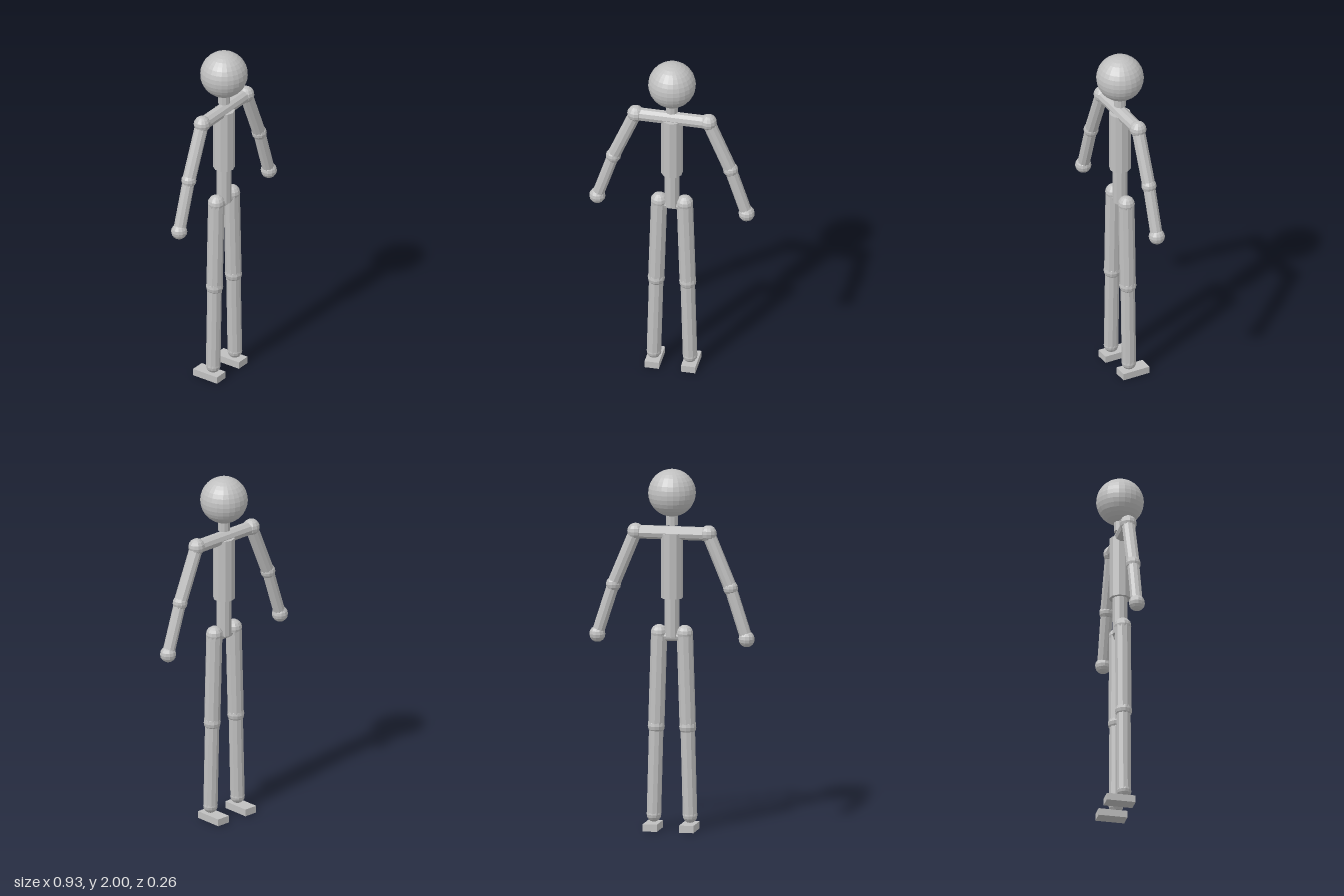
import * as THREE from 'three';

export function createModel() {
  const model = new THREE.Group();
  model.name = 'jointedFigure';
  const grey = new THREE.MeshStandardMaterial({ color: 0xc0c0c0, flatShading: true });
  grey.name = 'grey';

  const add = (name, geometry, x, y, z = 0) => {
    const mesh = new THREE.Mesh(geometry, grey);
    mesh.name = name;
    mesh.position.set(x, y, z);
    model.add(mesh);
    return mesh;
  };
  const joint = (name, [x, y], r) => add(name, new THREE.SphereGeometry(r, 12, 8), x, y);

  // Ten-sided rod between two points in the x-y plane
  const rod = (name, a, b, rA, rB = rA) => {
    const from = new THREE.Vector3(a[0], a[1], 0);
    const to = new THREE.Vector3(b[0], b[1], 0);
    const dir = to.clone().sub(from);
    const mid = from.clone().add(to).multiplyScalar(0.5);
    const mesh = add(name, new THREE.CylinderGeometry(rB, rA, dir.length(), 10), mid.x, mid.y);
    mesh.quaternion.setFromUnitVectors(new THREE.Vector3(0, 1, 0), dir.normalize());
  };

  // Head and trunk
  add('head', new THREE.SphereGeometry(0.131, 24, 16), 0, 1.869);
  rod('neck', [0, 1.69], [0, 1.77], 0.034);
  rod('chest', [0, 1.285], [0, 1.643], 0.06);
  rod('waist', [0, 1.07], [0, 1.285], 0.042);
  rod('shoulderBar', [-0.204, 1.646], [0.204, 1.646], 0.038);
  rod('hipBar', [-0.072, 1.075], [0.072, 1.075], 0.03);

  // Limbs, mirrored
  for (const [side, s] of [['left', 1], ['right', -1]]) {
    const shoulder = [s * 0.204, 1.648];
    const elbow = [s * 0.328, 1.35];
    const hand = [s * 0.418, 1.071];
    rod(side + 'UpperArm', shoulder, elbow, 0.037);
    rod(side + 'Forearm', elbow, hand, 0.034);
    joint(side + 'Shoulder', shoulder, 0.047);
    joint(side + 'Elbow', elbow, 0.042);
    joint(side + 'Hand', hand, 0.045);

    const hip = [s * 0.072, 1.09];
    const knee = [s * 0.088, 0.572];
    const ankle = [s * 0.101, 0.08];
    rod(side + 'Thigh', hip, knee, 0.045);
    rod(side + 'Shin', knee, ankle, 0.04);
    joint(side + 'Hip', hip, 0.047);
    joint(side + 'Knee', knee, 0.048);
    joint(side + 'Ankle', ankle, 0.041);
    add(side + 'Foot', new THREE.BoxGeometry(0.08, 0.04, 0.162), s * 0.102, 0.02, -0.025);
  }
  return model;
}
